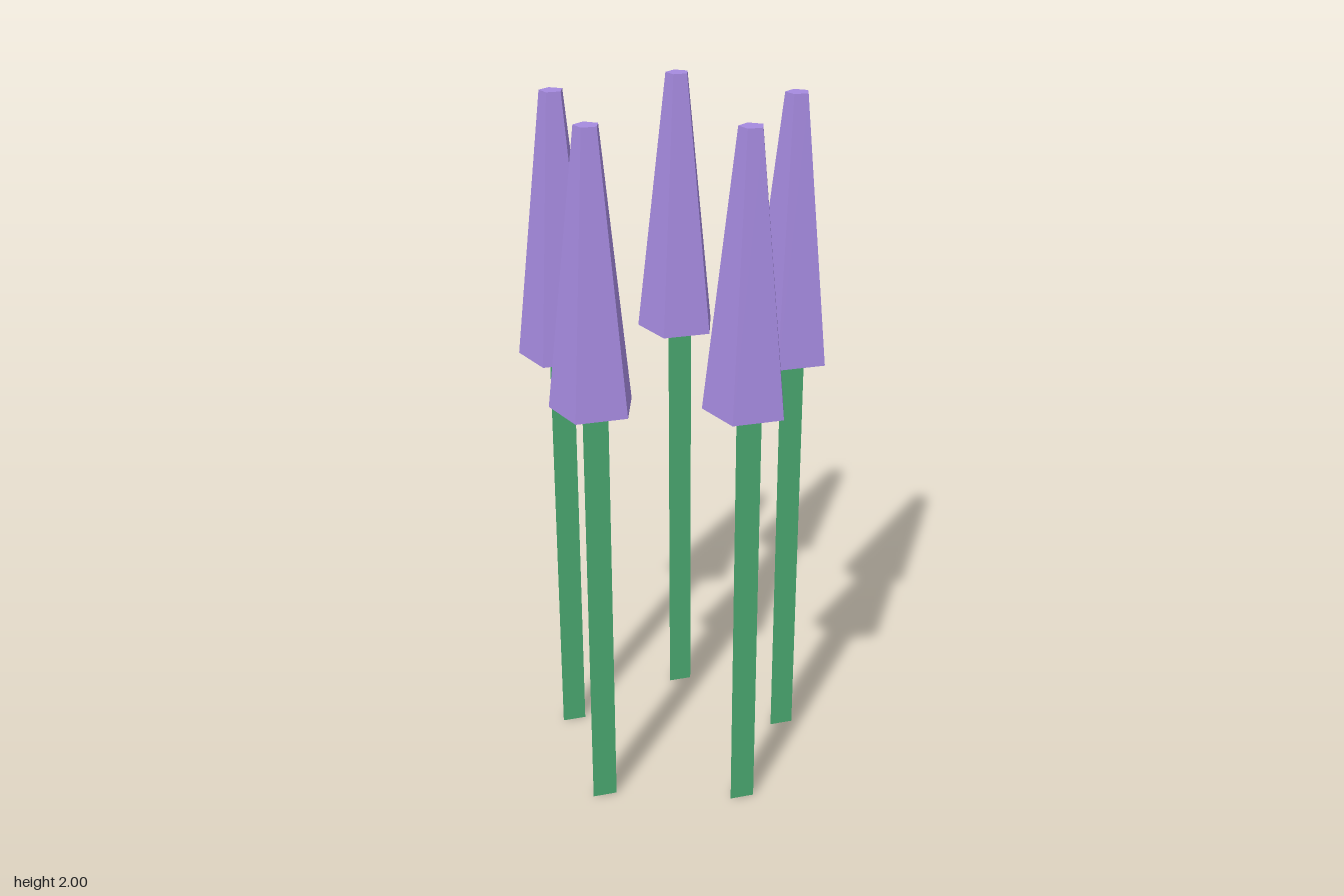
import * as THREE from 'three';

export function createModel() {
  const model = new THREE.Group();
  const purple = new THREE.MeshStandardMaterial({ color: 0xa58adf, flatShading: true });
  purple.name = 'petal purple';
  const green = new THREE.MeshStandardMaterial({ color: 0x4aa870, flatShading: true });
  green.name = 'stem green';

  const stemHeight = 1.245, bloomHeight = 2 - stemHeight;

  // Three-sided stem and tapered five-sided bloom, each with a flat side to the front
  const stemGeometry = new THREE.CylinderGeometry(0.0404, 0.0404, stemHeight, 3)
    .rotateY(Math.PI).translate(0, stemHeight / 2, 0);
  const bloomGeometry = new THREE.CylinderGeometry(0.034, 0.119, bloomHeight, 5)
    .rotateY(Math.PI).translate(0, stemHeight + bloomHeight / 2, 0);

  // Ring of five flowers [x, z]
  const spots = [[0.312, 0.011], [0.077, 0.336], [-0.31, 0.215], [-0.314, -0.19], [0.072, -0.317]];
  for (const [x, z] of spots) {
    const flower = new THREE.Group();
    flower.name = 'flower';
    const stem = new THREE.Mesh(stemGeometry, green);
    stem.name = 'stem';
    const bloom = new THREE.Mesh(bloomGeometry, purple);
    bloom.name = 'bloom';
    flower.add(stem, bloom);
    flower.position.set(x, 0, z);
    model.add(flower);
  }
  return model;
}
